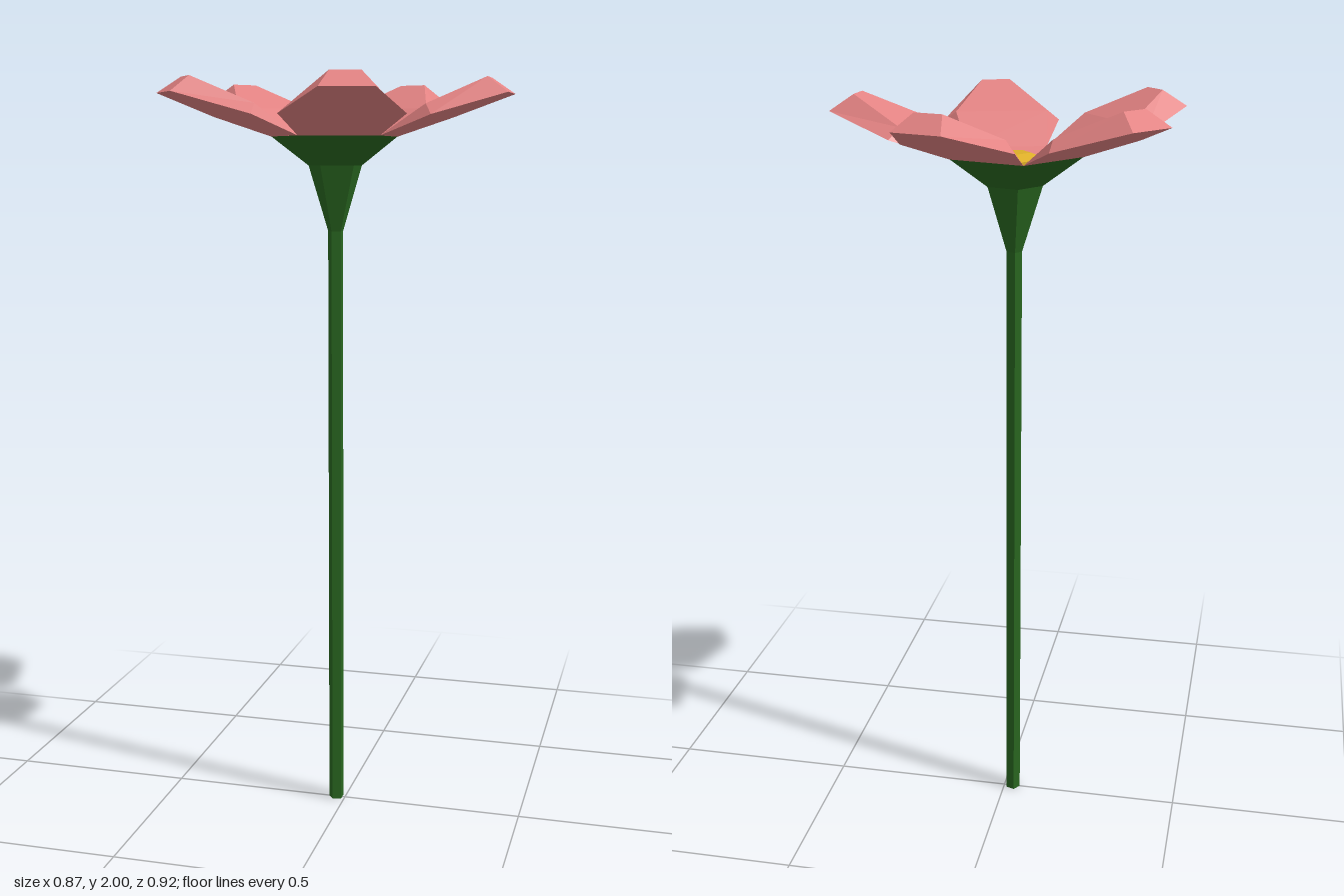
import * as THREE from 'three';

const petalPink = new THREE.MeshStandardMaterial({ color: 0xe28282 });
petalPink.name = 'petalPink';
const stemGreen = new THREE.MeshStandardMaterial({ color: 0x28651f });
stemGreen.name = 'stemGreen';
const pollenYellow = new THREE.MeshStandardMaterial({ color: 0xdcae28 });
pollenYellow.name = 'pollenYellow';

// Five-sided faceted turning from a [radius, y] profile, one corner on -x
function pentagonLathe(name, profile, material) {
  const points = profile.map(([r, y]) => new THREE.Vector2(r, y));
  const geometry = new THREE.LatheGeometry(points, 5, -Math.PI / 2).toNonIndexed();
  geometry.computeVertexNormals();
  const mesh = new THREE.Mesh(geometry, material);
  mesh.name = name;
  return mesh;
}

// One wedge-shaped petal pointing along +x, with a bevelled rim
function petalGeometry() {
  const half = { // [radial, height, half width]
    A: [0.143, 1.855, 0.104], // base corner
    B: [0.283, 1.905, 0.157], // outer side
    C: [0.46, 1.96, 0.067],   // outer tip
    D: [0.263, 1.932, 0.123], // raised side
    E: [0.403, 2.0, 0.038],   // raised tip
  };
  const corner = { O: [0, 1.8, 0] };
  for (const [key, [x, y, z]] of Object.entries(half)) {
    corner[key] = [x, y, z];
    corner[key.toLowerCase()] = [x, y, -z];
  }
  const faces = [
    'OAa', 'aADd', 'dDEe',                   // upper surface
    'ABD', 'BCED', 'CceE', 'cbde', 'bad',    // bevelled rim
    'AabB', 'BbcC',                          // underside
  ];
  const positions = [];
  for (const face of faces) {
    for (let i = 1; i < face.length - 1; i++) {
      for (const k of [face[0], face[i], face[i + 1]]) positions.push(...corner[k]);
    }
  }
  const geometry = new THREE.BufferGeometry();
  geometry.setAttribute('position', new THREE.Float32BufferAttribute(positions, 3));
  geometry.computeVertexNormals();
  return geometry;
}

export function createModel() {
  const flower = new THREE.Group();
  flower.name = 'flower';

  // Stem and the flaring cup under the petals
  flower.add(pentagonLathe('stem', [[0, 0], [0.021, 0], [0.021, 1.61]], stemGreen));
  flower.add(pentagonLathe('cup', [[0.021, 1.61], [0.074, 1.78], [0.176, 1.855]], stemGreen));

  // Ring of five petals meeting in the middle
  const petals = new THREE.Group();
  petals.name = 'petals';
  const geometry = petalGeometry();
  for (let i = 0; i < 5; i++) {
    const petal = new THREE.Mesh(geometry, petalPink);
    petal.name = 'petal' + (i + 1);
    petal.rotation.y = (i * Math.PI * 2) / 5;
    petals.add(petal);
  }
  flower.add(petals);

  // Low bevelled centre
  flower.add(pentagonLathe('flowerCentre',
    [[0.084, 1.8], [0.084, 1.848], [0.043, 1.862], [0, 1.862]], pollenYellow));

  flower.position.x = -0.025;
  const model = new THREE.Group();
  model.add(flower);
  return model;
}
